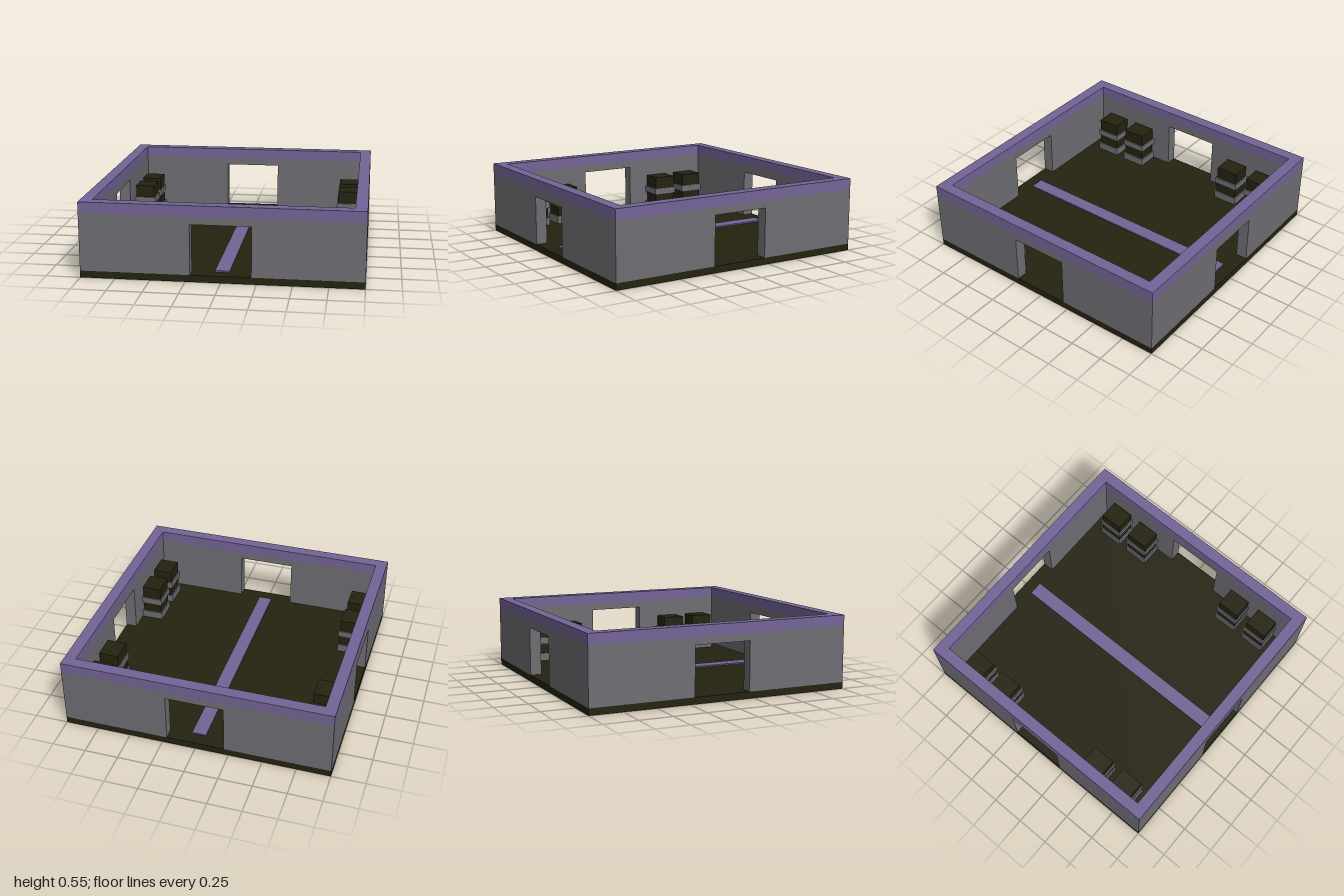
import * as THREE from 'three';

export function createModel() {
  const material = (name, color) => {
    const m = new THREE.MeshStandardMaterial({ color });
    m.name = name;
    return m;
  };
  const dark = material('dark olive', 0x24220f);
  const grey = material('wall grey', 0x6d6d73);
  const purple = material('trim purple', 0x736496);

  const model = new THREE.Group();
  model.name = 'room';

  const box = (parent, name, mat, w, h, d, x, bottom, z) => {
    const mesh = new THREE.Mesh(new THREE.BoxGeometry(w, h, d), mat);
    mesh.name = name;
    mesh.position.set(x, bottom + h / 2, z);
    parent.add(mesh);
  };

  const floorTop = 0.05, bandBottom = 0.47, wallTop = 0.55;
  const thick = 0.085, doorHalf = 0.215, doorTop = 0.415;

  // Floor slab and central runner
  box(model, 'floor', dark, 2, floorTop, 2, 0, 0, 0);
  box(model, 'runner', purple, 0.105, 0.01, 1.81, 0, floorTop, 0);

  // Wall with a doorway, topped by a coloured band
  const addWall = (name, half, angle) => {
    const wall = new THREE.Group();
    wall.name = name;
    const outline = new THREE.Shape([
      [-half, floorTop], [-doorHalf, floorTop], [-doorHalf, doorTop],
      [doorHalf, doorTop], [doorHalf, floorTop], [half, floorTop],
      [half, bandBottom], [-half, bandBottom],
    ].map(([x, y]) => new THREE.Vector2(x, y)));
    const panel = new THREE.Mesh(
      new THREE.ExtrudeGeometry(outline, { depth: thick, bevelEnabled: false }), grey);
    panel.name = 'wallPanel';
    panel.position.z = 1 - thick;
    wall.add(panel);
    box(wall, 'wallBand', purple, half * 2, wallTop - bandBottom, thick, 0, bandBottom, 1 - thick / 2);
    wall.rotation.y = angle;
    model.add(wall);
  };
  addWall('frontWall', 1, 0);
  addWall('backWall', 1, Math.PI);
  addWall('leftWall', 1 - thick, Math.PI / 2);
  addWall('rightWall', 1 - thick, -Math.PI / 2);

  // Stacked storage units: grey trays carrying dark boxes
  for (const x of [-0.828, 0.828]) {
    for (const z of [-0.732, -0.465, 0.465, 0.732]) {
      const stack = new THREE.Group();
      stack.name = 'storageStack';
      stack.position.set(x, 0, z);
      box(stack, 'lowerTray', grey, 0.168, 0.06, 0.194, 0, 0.05, 0);
      box(stack, 'lowerBox', dark, 0.148, 0.08, 0.174, 0, 0.11, 0);
      box(stack, 'upperTray', grey, 0.168, 0.05, 0.194, 0, 0.19, 0);
      box(stack, 'upperBox', dark, 0.148, 0.095, 0.174, 0, 0.24, 0);
      model.add(stack);
    }
  }
  return model;
}
